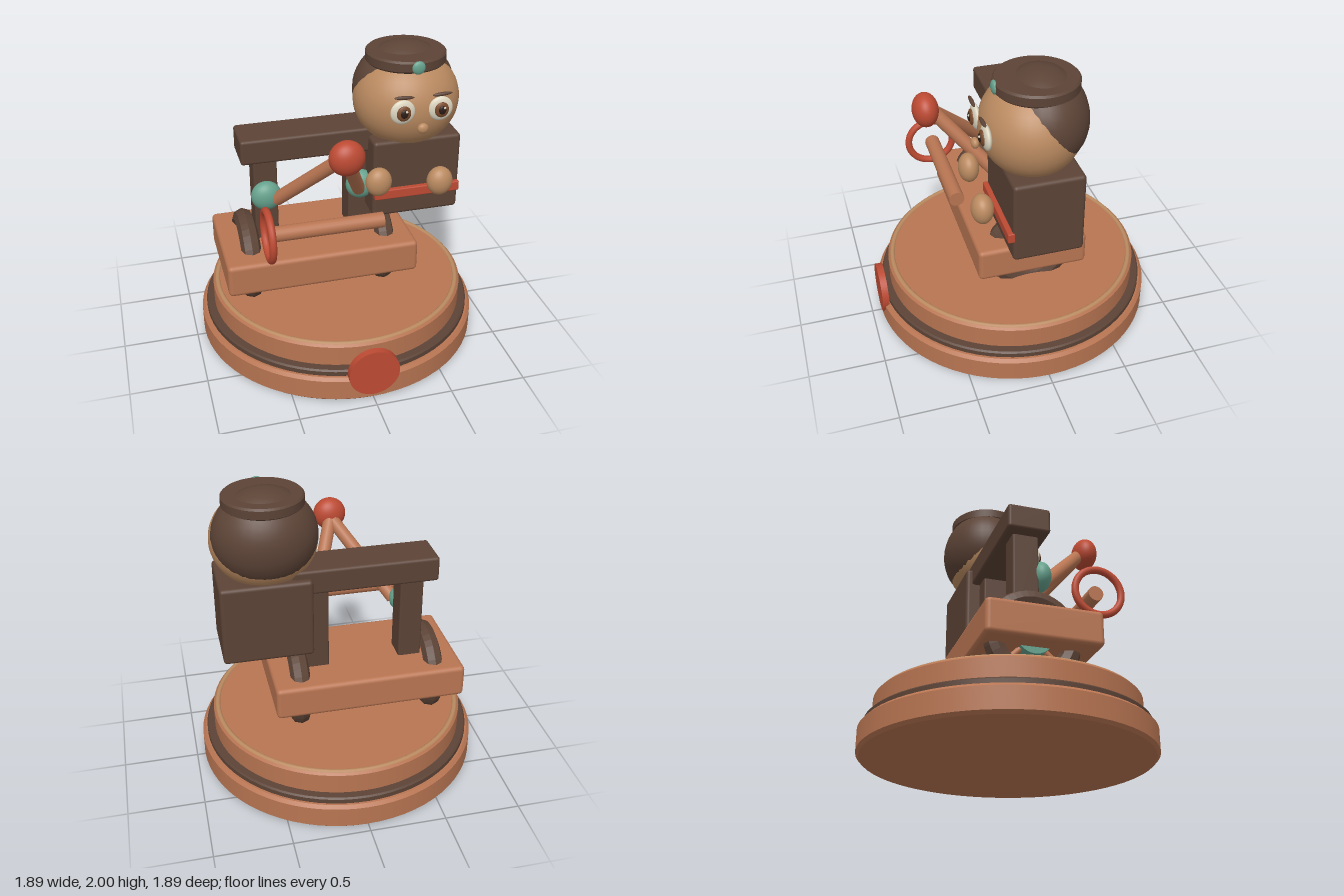
import * as THREE from 'three';
import { RoundedBoxGeometry } from 'three/addons/geometries/RoundedBoxGeometry.js';

const mat = (color, flatShading = false) => new THREE.MeshStandardMaterial({ color, flatShading });
const wood = mat(0xb87552), dark = mat(0x5c4336), darkFlat = mat(0x5c4336, true);
const red = mat(0xbc4a33), teal = mat(0x66a28d), skin = mat(0xba8a60);
const cream = mat(0xdcd5c0), brown = mat(0x7a4a2c), black = mat(0x2a1d17);

export function createModel() {
  const model = new THREE.Group();

  const add = (name, geometry, material, x, y, z, parent = model) => {
    const mesh = new THREE.Mesh(geometry, material);
    mesh.name = name;
    mesh.position.set(x, y, z);
    parent.add(mesh);
    return mesh;
  };
  // Rounded box given by its extents
  const box = (name, material, [x0, x1], [y0, y1], [z0, z1], r = 0.02) =>
    add(name, new RoundedBoxGeometry(x1 - x0, y1 - y0, z1 - z0, 3, r), material,
      (x0 + x1) / 2, (y0 + y1) / 2, (z0 + z1) / 2);
  const ball = (name, material, x, y, z, rx, ry = rx, rz = rx) =>
    add(name, new THREE.SphereGeometry(1, 36, 24).scale(rx, ry, rz), material, x, y, z);
  // Disc with bevelled rims
  const disc = (name, material, r, y0, y1, x, z, b = 0.015) => {
    const points = [[0, y0], [r - b, y0], [r - b, y0], [r, y0 + b], [r, y0 + b],
      [r, y1 - b], [r, y1 - b], [r - b, y1], [r - b, y1], [0, y1]];
    return add(name, new THREE.LatheGeometry(points.map(p => new THREE.Vector2(...p)), 72), material, x, 0, z);
  };
  // Round bar between two points
  const rod = (name, material, a, b, r, parent = model) => {
    const start = new THREE.Vector3(...a), end = new THREE.Vector3(...b);
    const dir = end.clone().sub(start);
    const mesh = add(name, new THREE.CylinderGeometry(r, r, dir.length(), 20), material, 0, 0, 0, parent);
    mesh.position.copy(start).add(end).multiplyScalar(0.5);
    mesh.quaternion.setFromUnitVectors(new THREE.Vector3(0, 1, 0), dir.normalize());
    return mesh;
  };

  // Stepped round base
  const bz = -0.01;
  disc('baseLower', wood, 0.945, 0, 0.178, 0, bz, 0.02);
  disc('baseBand', dark, 0.912, 0.17, 0.22, 0, bz, 0.01);
  disc('baseUpper', wood, 0.858, 0.21, 0.373, 0, bz, 0.014);
  add('baseTrim', new THREE.TorusGeometry(0.828, 0.018, 12, 72).rotateX(Math.PI / 2), skin, 0, 0.366, bz);
  add('badge', new THREE.CylinderGeometry(0.165, 0.165, 0.045, 48).rotateX(Math.PI / 2), red, 0, 0.205, 0.917);

  // Cart bed, posts and top beam
  box('cartBed', wood, [-0.8, 0.477], [0.505, 0.73], [-0.395, 0.335], 0.03);
  for (const x of [-0.478, 0.158]) {
    box('post', dark, [x - 0.078, x + 0.078], [0.7, 1.33], [-0.155, 0.015], 0.012);
    ball('postKnob', teal, x - 0.005, 1.065, 0.045, 0.1, 0.1, 0.07);
  }
  box('topBeam', dark, [-0.64, 0.32], [1.308, 1.476], [-0.21, 0.07], 0.02);

  // Wheels with hubs and spokes
  for (const x of [-0.615, 0.295]) {
    const wheel = new THREE.Group();
    wheel.name = 'wheel';
    wheel.position.set(x, 0.578, -0.055);
    model.add(wheel);
    add('tyre', new THREE.TorusGeometry(0.245, 0.066, 8, 40).rotateY(Math.PI / 2), darkFlat, 0, 0, 0, wheel);
    add('hub', new THREE.CylinderGeometry(0.115, 0.115, 0.1, 24).rotateZ(Math.PI / 2), teal, 0, 0, 0, wheel);
    for (let i = 0; i < 8; i++) {
      const a = i * Math.PI / 4;
      rod('spoke', wood, [0, 0, 0], [0, 0.23 * Math.cos(a), 0.23 * Math.sin(a)], 0.02, wheel);
    }
  }

  // Throwing frame, ball, crank shaft and hand wheel
  rod('frameArm', wood, [-0.42, 1.05, 0.08], [-0.085, 1.49, 0.47], 0.045);
  rod('frameArm', wood, [0.13, 1.05, 0.08], [-0.065, 1.49, 0.47], 0.045);
  ball('shot', red, -0.075, 1.52, 0.525, 0.112, 0.112, 0.085);
  rod('crankShaft', wood, [-0.53, 0.987, 0.405], [0.2, 0.987, 0.405], 0.05);
  add('handWheel', new THREE.TorusGeometry(0.156, 0.024, 12, 48).rotateY(Math.PI / 2), red, -0.545, 0.988, 0.413);

  // Figure: body, sash and hands
  box('body', dark, [0.195, 0.785], [0.885, 1.425], [-0.25, 0.2], 0.025);
  box('sash', red, [0.2, 0.78], [1.025, 1.092], [0.15, 0.232], 0.008);
  ball('rightHand', skin, 0.192, 1.215, 0.32, 0.085, 0.097, 0.066);
  ball('leftHand', skin, 0.595, 1.18, 0.34, 0.085, 0.097, 0.07);

  // Head, hair and cap
  const hx = 0.463;
  ball('head', skin, hx, 1.643, 0, 0.346, 0.315, 0.317);
  ball('hair', dark, hx, 1.69, -0.06, 0.335, 0.31, 0.285);
  disc('capBand', dark, 0.258, 1.88, 1.957, hx, -0.032, 0.012);
  ball('capBead', teal, hx, 1.918, 0.222, 0.043, 0.043, 0.02);

  // Face
  ball('nose', skin, hx, 1.566, 0.342, 0.036, 0.034, 0.025);
  for (const s of [-1, 1]) {
    const ex = hx + s * 0.123;
    ball('eye', cream, ex, 1.672, 0.305, 0.08, 0.08, 0.028);
    ball('iris', brown, ex, 1.672, 0.33, 0.046, 0.05, 0.016);
    ball('pupil', black, ex, 1.674, 0.343, 0.024, 0.028, 0.01);
    ball('eyeGlint', cream, ex + 0.012, 1.69, 0.35, 0.008, 0.008, 0.006);
    ball('brow', dark, ex, 1.776, 0.325, 0.064, 0.012, 0.013).rotation.z = s * 0.05;
  }

  return model;
}
